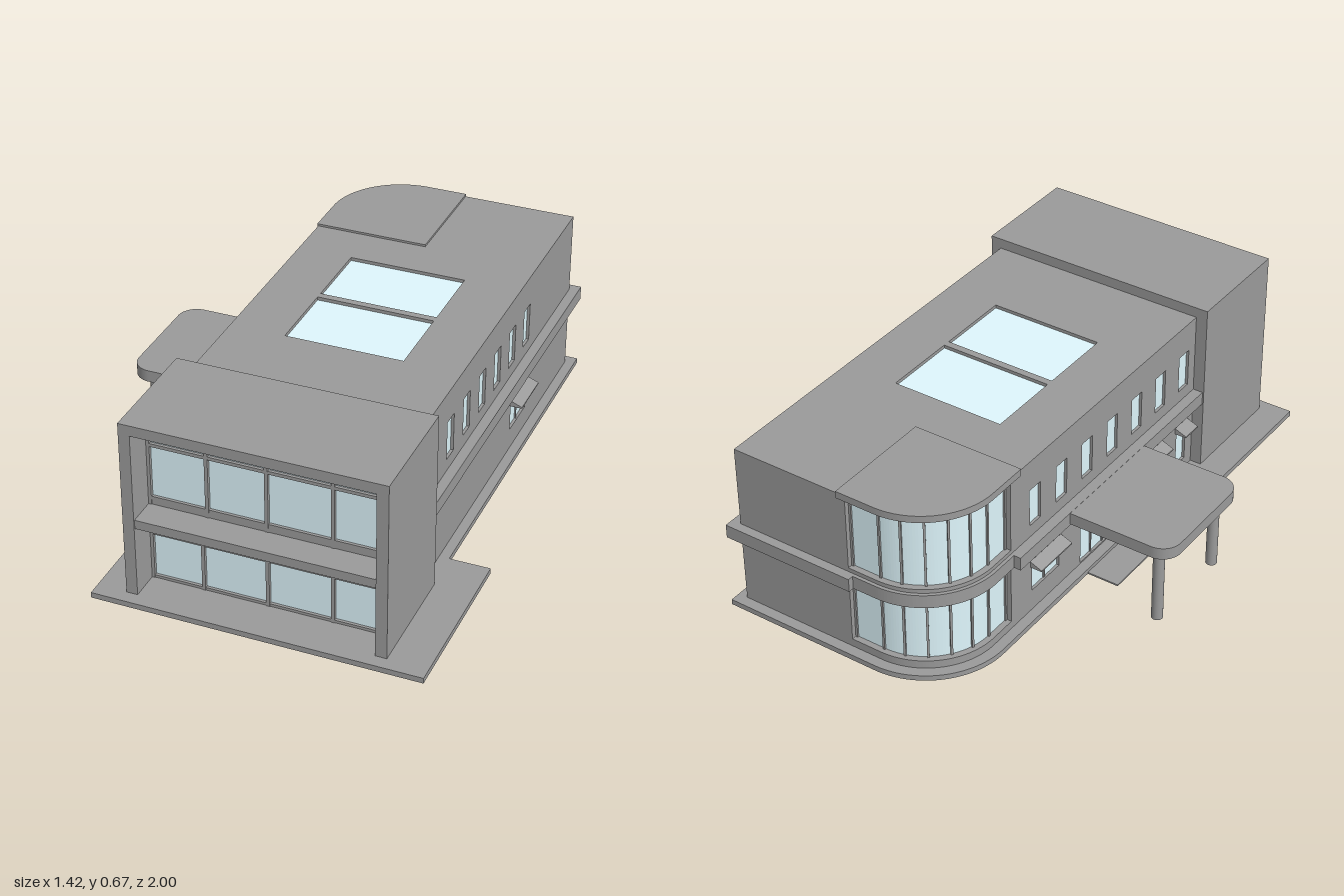
import * as THREE from 'three';

const grey = new THREE.MeshStandardMaterial({ color: 0x9b9b9b });
const glass = new THREE.MeshStandardMaterial({ color: 0xdff7fd });

export function createModel() {
  const model = new THREE.Group();

  const add = (name, geometry, material = grey) => {
    const mesh = new THREE.Mesh(geometry, material);
    mesh.name = name;
    model.add(mesh);
    return mesh;
  };
  // Box given by its limits on each axis
  const box = (name, x0, x1, y0, y1, z0, z1, material) => add(name,
    new THREE.BoxGeometry(x1 - x0, y1 - y0, z1 - z0)
      .translate((x0 + x1) / 2, (y0 + y1) / 2, (z0 + z1) / 2), material);
  // Plan outline (x, -z) raised from y0 to y1
  const slab = (name, shape, y0, y1, material) => add(name,
    new THREE.ExtrudeGeometry(shape, { depth: y1 - y0, bevelEnabled: false, curveSegments: 20 })
      .rotateX(-Math.PI / 2).translate(0, y0, 0), material);
  const rectPath = (x0, x1, y0, y1, Type = THREE.Path) =>
    new Type([[x0, y0], [x1, y0], [x1, y1], [x0, y1]].map(p => new THREE.Vector2(...p)));

  // Plan with one rounded back corner, grown outward by o
  const cx = -0.03, cz = -0.70, r = 0.262;
  const left = cx - r, back = cz - r, jamb = 0.085;
  const plan = (o, xRight, zFront) => {
    const s = new THREE.Shape();
    s.moveTo(left - o, -zFront);
    s.lineTo(xRight, -zFront);
    s.lineTo(xRight, -back + o);
    s.lineTo(cx, -back + o);
    s.absarc(cx, -cz, r + o, Math.PI / 2, Math.PI, false);
    s.closePath();
    return s;
  };

  // Ground slab
  slab('baseRear', plan(0.038, 0.565, 0.38), 0, 0.02);
  box('baseFront', -0.44, 0.71, 0, 0.02, 0.38, 1);
  box('entranceStep', -0.45, -0.33, 0, 0.006, -0.20, 0.05);

  // Side walls with window openings; lower windows are [z0, z1, y0, y1]
  const upper = [-3, -2, -1, 0, 1, 2, 3].map(i => [i * 0.153 - 0.033, i * 0.153 + 0.029, 0.375, 0.517]);
  const wall = (name, outerX, side, zBack, lower) => {
    const t = 0.025;
    // Box reaching from one depth to another behind the wall face
    const inset = (part, d0, d1, y0, y1, z0, z1, material) => {
      const a = outerX - side * d0, b = outerX - side * d1;
      box(part, Math.min(a, b), Math.max(a, b), y0, y1, z0, z1, material);
    };
    const s = rectPath(zBack, 0.53, 0.02, 0.615, THREE.Shape);
    const openings = [...upper, ...lower];
    openings.forEach(w => s.holes.push(rectPath(...w)));
    add(name, new THREE.ExtrudeGeometry(s, { depth: t, bevelEnabled: false })
      .rotateY(-Math.PI / 2).translate(side > 0 ? outerX : outerX + t, 0, 0));
    for (const [z0, z1, y0, y1] of openings) inset('sidePane', 0.01, 0.02, y0, y1, z0, z1, glass);

    // Mullions and small sloping hoods of the lower windows
    for (const [z0, z1, y0, y1] of lower) {
      const count = z1 - z0 > 0.2 ? 4 : z1 - z0 > 0.1 ? 2 : 1;
      for (let i = 1; i < count; i++) {
        const z = z0 + (z1 - z0) * i / count;
        inset('sideMullion', 0.005, 0.012, y0, y1, z - 0.003, z + 0.003);
      }
      if (y0 < 0.05) continue;
      const profile = [[0, 0.203], [0.045, 0.203], [0.045, 0.208], [0, 0.226]]
        .map(([d, y]) => new THREE.Vector2(outerX + side * d, y));
      add('windowHood', new THREE.ExtrudeGeometry(new THREE.Shape(profile),
        { depth: z1 - z0 + 0.02, bevelEnabled: false }).translate(0, 0, z0 - 0.01));
    }
  };
  wall('leftWall', 0.53, 1, back, [[-0.48, -0.32, 0.10, 0.195]]);
  wall('rightWall', left, -1, -0.6, [
    [-0.48, -0.32, 0.10, 0.195], [-0.19, 0.10, 0.025, 0.22],
    [0.16, 0.32, 0.10, 0.195], [0.425, 0.485, 0.06, 0.195]]);
  box('backWall', jamb, 0.53, 0.02, 0.615, back, back + 0.025);

  // Rounded corner glazing between solid sills
  slab('cornerSill', plan(0, jamb, -0.6), 0.02, 0.05);
  slab('cornerSpandrel', plan(0, jamb, -0.6), 0.27, 0.345);
  slab('cornerGlass', plan(-0.022, jamb, -0.6), 0.05, 0.615, glass);
  const q = r - 0.021;
  const mullionSpots = [[jamb - 0.005, cz - q, 0], [cx - q, -0.605, Math.PI / 2]];
  for (let i = 0; i <= 5; i++) {
    const a = i * Math.PI / 10;
    mullionSpots.push([cx - q * Math.sin(a), cz - q * Math.cos(a), a]);
  }
  for (const [x, z, a] of mullionSpots) {
    const m = add('cornerMullion', new THREE.BoxGeometry(0.008, 0.565, 0.01));
    m.position.set(x, 0.3325, z);
    m.rotation.y = a;
  }

  // Band between the storeys, narrower around the rounded corner
  slab('cornerBand', plan(0.012, 0.06, -0.6), 0.28, 0.33);
  box('backBand', 0.06, 0.565, 0.28, 0.33, -0.995, back + 0.01);
  box('leftBand', 0.52, 0.565, 0.28, 0.33, back + 0.01, 0.53);
  box('rightBand', -0.33, left + 0.01, 0.28, 0.33, -0.6, 0.53);

  // Roof with skylight, and raised cap over the rounded corner
  const roof = plan(0, 0.53, 0.53);
  roof.holes.push(rectPath(-0.095, 0.327, -0.207, 0.373));
  slab('roof', roof, 0.612, 0.63);
  box('skylightGlass', -0.10, 0.33, 0.608, 0.618, -0.38, 0.21, glass);
  box('skylightBar', -0.095, 0.327, 0.612, 0.63, -0.098, -0.072);
  slab('cornerRoofCap', plan(0.004, 0.117, -0.545), 0.612, 0.638);

  // Front block: open-fronted frame
  const zf = 0.953, zg = 0.835;
  box('frontPier', -0.335, -0.295, 0.02, 0.668, 0.53, zf);
  box('frontPier', 0.53, 0.57, 0.02, 0.668, 0.53, zf);
  box('frontRoof', -0.295, 0.53, 0.63, 0.668, 0.53, zf);
  box('frontBlockBack', -0.295, 0.53, 0.02, 0.63, 0.53, 0.55);
  box('frontFloorSlab', -0.295, 0.53, 0.277, 0.31, 0.55, zf - 0.005);
  box('frontGlass', -0.295, 0.53, 0.02, 0.63, zg - 0.01, zg, glass);
  // Front glazing bars: [bottom, top, sill height, transom, vertical positions]
  for (const [y0, y1, sill, yt, xs] of [
    [0.02, 0.28, 0.01, 0.197, [-0.108, 0.118, 0.343]],
    [0.31, 0.63, 0.03, 0.535, [-0.088, 0.118, 0.343]]]) {
    const rail = (a, b) => box('frontRail', -0.295, 0.53, a, b, zg - 0.002, zg + 0.010);
    rail(y0, y0 + sill);
    rail(y1 - 0.01, y1);
    rail(yt - 0.006, yt + 0.006);
    for (const x of [-0.290, ...xs, 0.525])
      box('frontMullion', x - 0.006, x + 0.006, y0, y1, zg - 0.002, zg + 0.012);
  }

  // Entrance canopy with rounded outer corners on two columns
  const c = new THREE.Shape(), k = 0.07, xo = -0.713, s0 = -0.145, s1 = 0.313;
  c.moveTo(left, s0);
  c.lineTo(left, s1);
  c.lineTo(xo + k, s1);
  c.absarc(xo + k, s1 - k, k, Math.PI / 2, Math.PI, false);
  c.absarc(xo + k, s0 + k, k, Math.PI, Math.PI * 1.5, false);
  c.closePath();
  slab('canopy', c, 0.285, 0.329);
  for (const z of [-0.26, 0.09])
    add('canopyColumn', new THREE.CylinderGeometry(0.02, 0.02, 0.29, 20)).position.set(-0.643, 0.145, z);

  return model;
}
